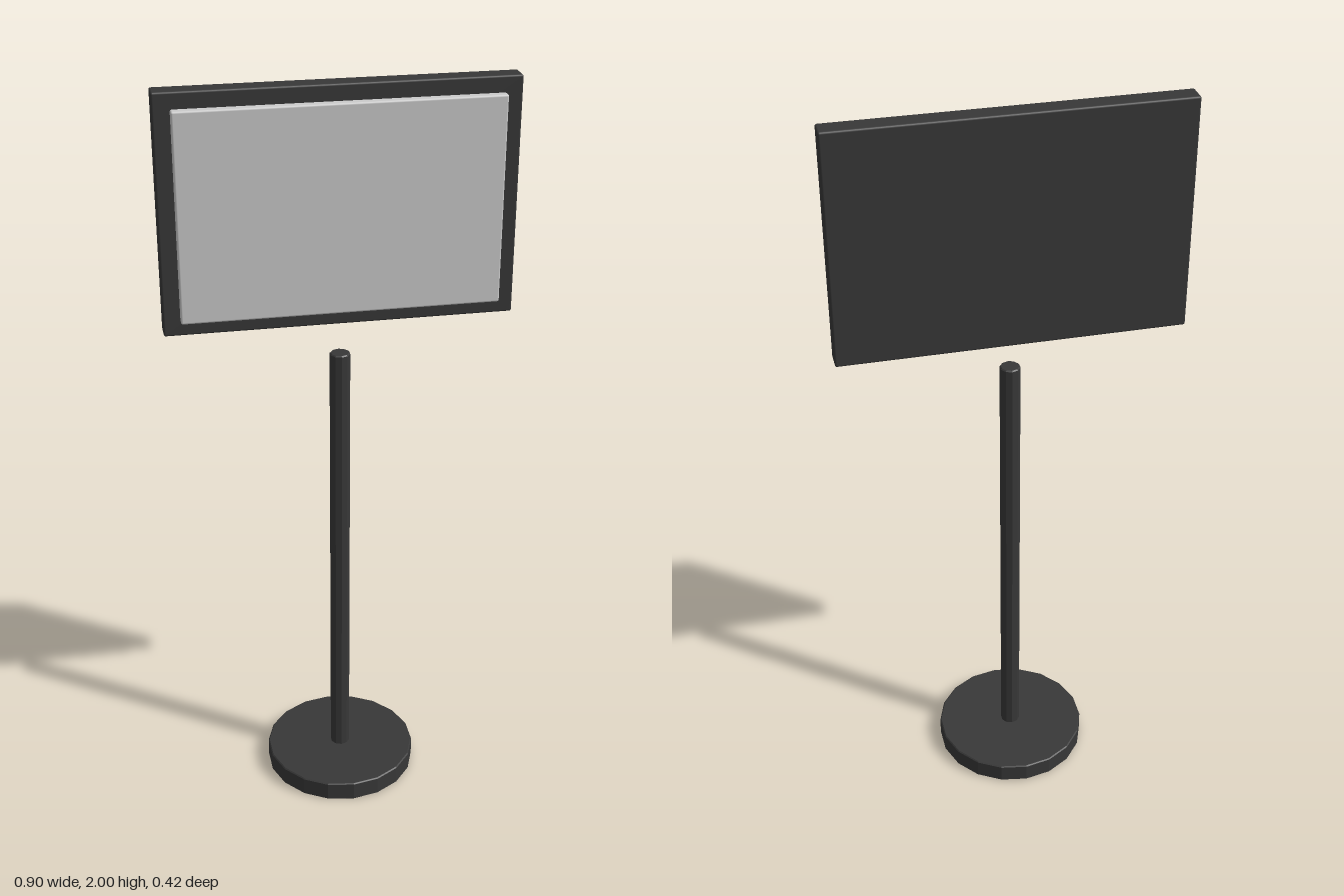
import * as THREE from 'three';
import { RoundedBoxGeometry } from 'three/addons/geometries/RoundedBoxGeometry.js';

const dark = new THREE.MeshStandardMaterial({ color: 0x383838 });
const darkFlat = new THREE.MeshStandardMaterial({ color: 0x383838, flatShading: true });
const grey = new THREE.MeshStandardMaterial({ color: 0xcccccc });

export function createModel() {
  const model = new THREE.Group();
  model.name = 'signStand';

  const add = (name, geometry, material, y, z = 0) => {
    const mesh = new THREE.Mesh(geometry, material);
    mesh.name = name;
    mesh.position.set(0, y, z);
    model.add(mesh);
  };

  // Upright disc or post with a small bevel at both ends
  const bevelledCylinder = (radius, height, sides, bevel) => {
    const h = height / 2;
    const profile = [
      [0, -h], [radius - bevel, -h], [radius, -h + bevel],
      [radius, h - bevel], [radius - bevel, h], [0, h],
    ].map(([x, y]) => new THREE.Vector2(x, y));
    return new THREE.LatheGeometry(profile, sides);
  };

  // Floor disc and post
  add('base', bevelledCylinder(0.21, 0.055, 18, 0.003), darkFlat, 0.0275);
  add('pole', bevelledCylinder(0.027, 1.25, 10, 0.003), darkFlat, 0.675);

  // Display panel with its raised front face
  add('panelFrame', new RoundedBoxGeometry(0.9, 0.615, 0.055, 2, 0.005), dark, 1.6925, -0.015);
  add('panelFace', new RoundedBoxGeometry(0.815, 0.535, 0.027, 2, 0.005), grey, 1.6925, 0.0265);

  return model;
}
